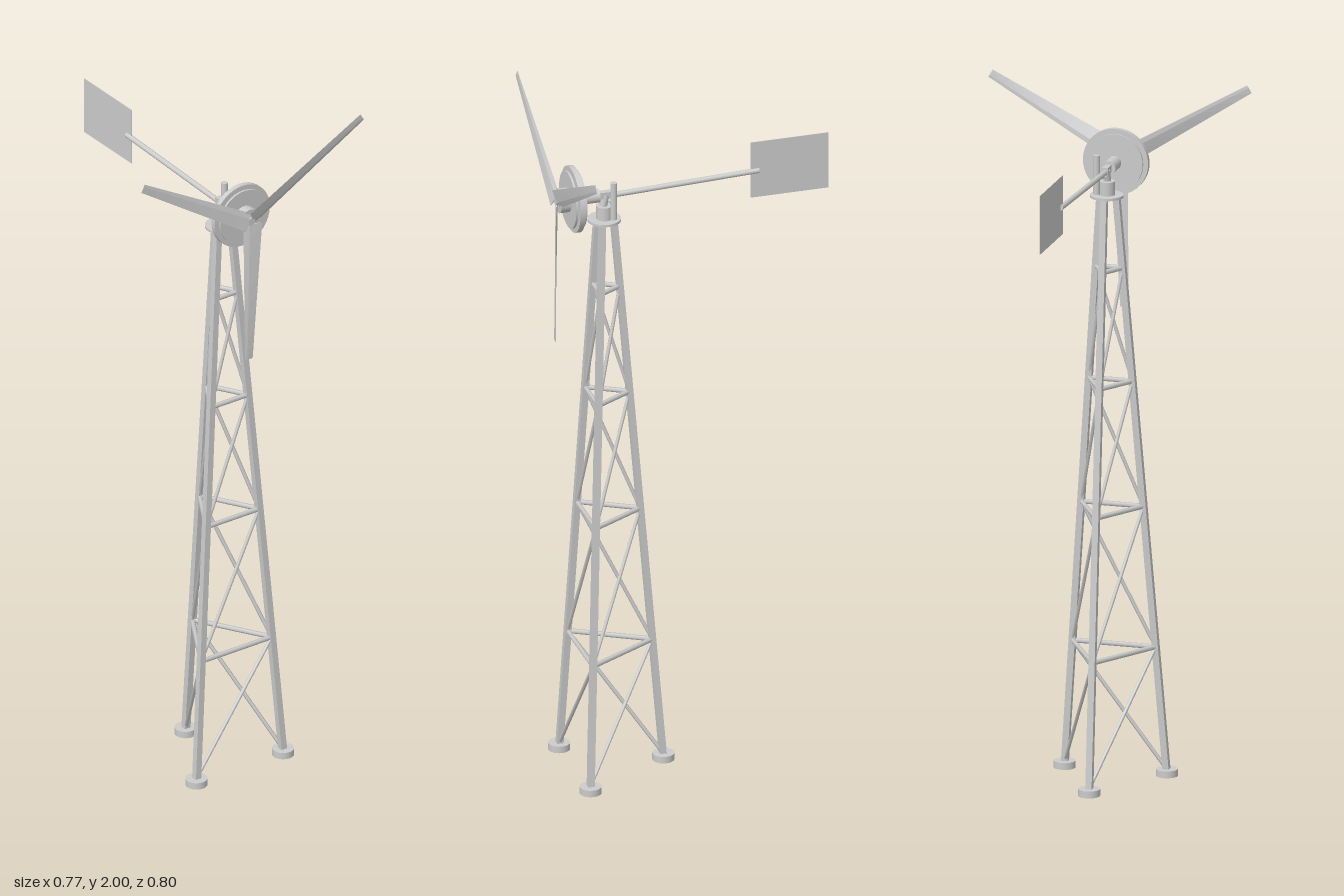
import * as THREE from 'three';

const CX = -0.006, CZ = 0.251;       // tower axis
const AXLE_Y = 1.767;                // rotor axle height
const V = (x, y, z) => new THREE.Vector3(x, y, z);

export function createModel() {
  const root = new THREE.Group();
  root.name = 'windTurbine';
  const mat = new THREE.MeshStandardMaterial({ color: 0xcccccc });
  const flat = new THREE.MeshStandardMaterial({ color: 0xcccccc, flatShading: true });
  const thin = new THREE.MeshStandardMaterial({ color: 0xcccccc, flatShading: true, side: THREE.DoubleSide });

  const add = (parent, name, geo, material = mat) => {
    const mesh = new THREE.Mesh(geo, material);
    mesh.name = name;
    parent.add(mesh);
    return mesh;
  };
  // straight bar between two points
  const bar = (parent, name, a, b, r, sides = 8, material = mat) => {
    const dir = b.clone().sub(a);
    const mesh = add(parent, name, new THREE.CylinderGeometry(r, r, dir.length(), sides), material);
    mesh.position.copy(a).lerp(b, 0.5);
    mesh.quaternion.setFromUnitVectors(V(0, 1, 0), dir.normalize());
    return mesh;
  };
  const group = (name) => {
    const g = new THREE.Group();
    g.name = name;
    root.add(g);
    return g;
  };

  // Tower: three tapering legs, in the order front right, back, front left
  const TOP = 1.69;
  const legPoint = (i, y) => {
    const r = THREE.MathUtils.lerp(0.172, 0.027, y / TOP);
    const a = (1 + 2 * i) * Math.PI / 3;
    return V(CX - Math.sin(a) * r, y, CZ + Math.cos(a) * r);
  };
  const tower = group('tower');
  const levels = [0.02, 0.375, 0.785, 1.15, 1.48];
  for (let i = 0; i < 3; i++) {
    const foot = add(tower, 'foot', new THREE.CylinderGeometry(0.031, 0.031, 0.02, 24));
    foot.position.copy(legPoint(i, 0)).setY(0.01);
    // square leg, faces towards front and sides
    bar(tower, 'leg', legPoint(i, 0.01), legPoint(i, TOP), 0.013, 4, flat).rotateY(Math.PI / 4);
    // horizontal rails and one diagonal brace per bay on each face
    const j = (i + 1) % 3;
    levels.forEach((y, k) => {
      if (k === 0) return;
      bar(tower, 'rail', legPoint(i, y), legPoint(j, y), 0.007, 6);
      bar(tower, 'brace', legPoint(i, y), legPoint(j, levels[k - 1]), 0.0055, 6);
    });
  }

  // Yaw bearing and head
  const head = group('head');
  add(head, 'topPlate', new THREE.CylinderGeometry(0.047, 0.047, 0.007, 32)).position.set(CX, 1.692, CZ);
  add(head, 'yawBearing', new THREE.CylinderGeometry(0.023, 0.023, 0.04, 24)).position.set(CX, 1.715, CZ);
  bar(head, 'neck', V(CX, 1.73, CZ + 0.004), V(CX, 1.767, CZ - 0.004), 0.011, 12);
  bar(head, 'tailHinge', V(0.018, 1.7, 0.231), V(0.018, 1.812, 0.231), 0.0095, 16);
  bar(head, 'hingeArm', V(CX, 1.75, 0.24), V(0.018, 1.75, 0.231), 0.006);
  add(head, 'headBracket', new THREE.BoxGeometry(0.017, 0.02, 0.04), flat).position.set(CX, AXLE_Y, 0.252);

  // Discs and cylinders along the axle: name, radius, back z, front z
  const generator = group('generator');
  const axial = [
    ['axleHousing', 0.0195, 0.268, 0.326],
    ['rearRotorDisc', 0.082, 0.325, 0.331],
    ['discShaft', 0.028, 0.331, 0.357],
    ['stator', 0.095, 0.334, 0.349],
    ['frontRotorDisc', 0.082, 0.352, 0.358],
    ['hub', 0.035, 0.358, 0.386],
    ['hubNut', 0.012, 0.386, 0.394],
  ];
  for (const [name, r, z0, z1] of axial) {
    bar(generator, name, V(CX, AXLE_Y, z0), V(CX, AXLE_Y, z1), r, 36);
  }

  // Blades: straight leading edge, tapering chord, twist fading to the tip
  const bladeGeometry = () => {
    const steps = 8, pos = [], index = [];
    for (let s = 0; s <= steps; s++) {
      const t = s / steps;
      const r = 0.008 + 0.427 * t;
      const lead = -0.021, trail = THREE.MathUtils.lerp(0.031, 0.004, t);
      const twist = 0.008 * (1 - t) + 0.0008, half = 0.0025 * (1 - t) + 0.001;
      const shape = [[0, 0], [0.3, 1], [1, 0], [0.3, -1]];
      for (const [c, h] of shape) {
        pos.push(r, lead + (trail - lead) * c, twist * (2 * c - 1) + half * h);
      }
    }
    for (let s = 0; s < steps; s++) {
      for (let k = 0; k < 4; k++) {
        const a = s * 4 + k, b = s * 4 + (k + 1) % 4;
        index.push(a, a + 4, b, b, a + 4, b + 4);
      }
    }
    const e = steps * 4;
    index.push(0, 1, 2, 0, 2, 3, e, e + 2, e + 1, e, e + 3, e + 2);
    const g = new THREE.BufferGeometry();
    g.setAttribute('position', new THREE.Float32BufferAttribute(pos, 3));
    g.setIndex(index);
    g.computeVertexNormals();
    return g;
  };
  const rotor = group('rotor');
  rotor.position.set(CX, AXLE_Y, 0.392);
  for (let i = 0; i < 3; i++) {
    add(rotor, 'blade', bladeGeometry(), thin).rotation.z = Math.PI / 6 + i * Math.PI * 2 / 3;
  }

  // Tail boom and vane
  const tail = group('tail');
  bar(tail, 'tailBoom', V(CX, 1.763, 0.235), V(CX, 1.779, -0.2), 0.0078, 16);
  add(tail, 'tailVane', new THREE.BoxGeometry(0.0015, 0.17, 0.226), flat).position.set(CX, 1.783, -0.289);

  return root;
}
